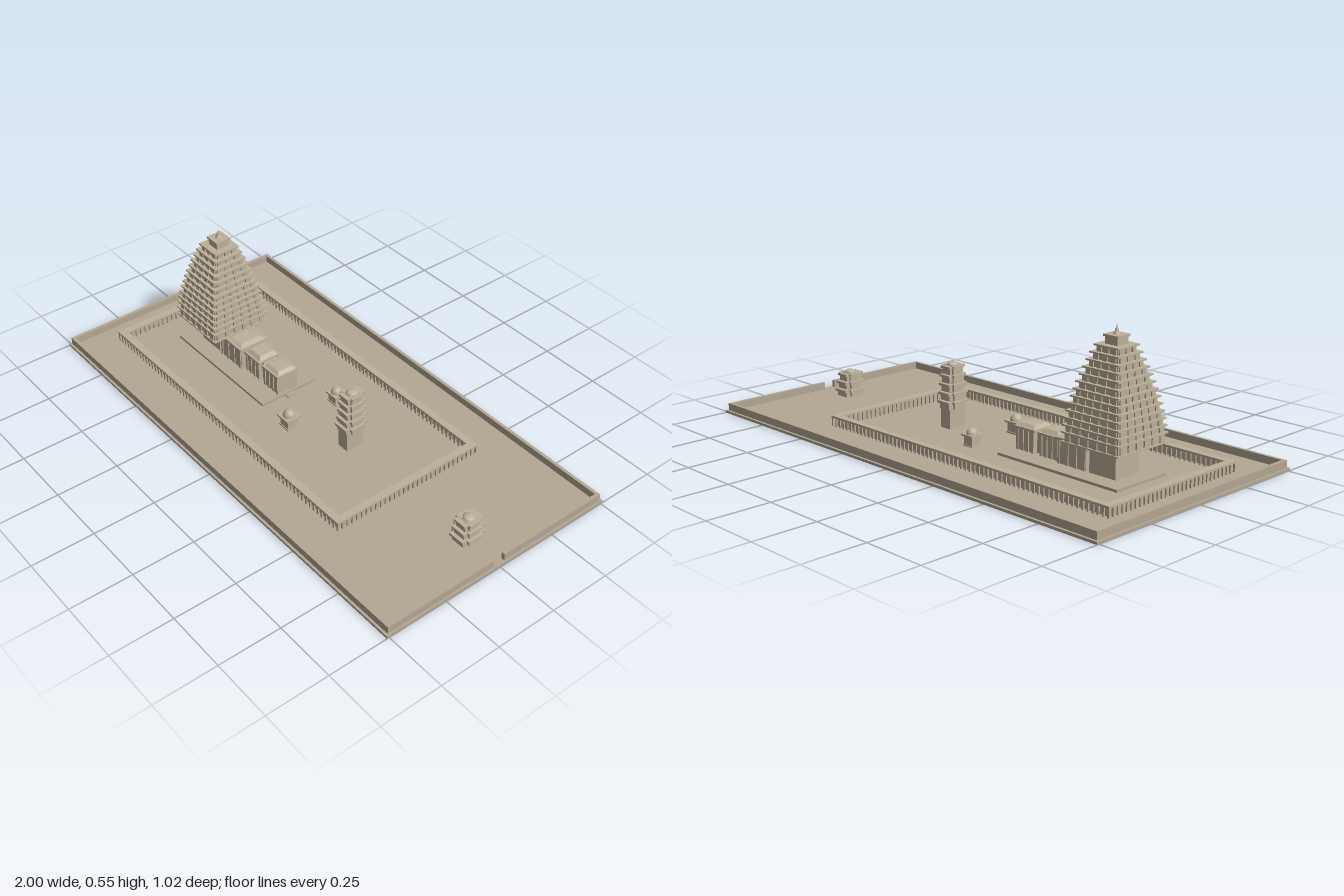
import * as THREE from 'three';
import { mergeGeometries } from 'three/addons/utils/BufferGeometryUtils.js';

const groundMat = new THREE.MeshStandardMaterial({ color: 0xb4a794 });
groundMat.name = 'ground stone';
const stoneMat = new THREE.MeshStandardMaterial({ color: 0xbcb09a });
stoneMat.name = 'carved stone';

// box from half sizes in x and z, between heights y0 and y1
function box(x, z, hx, hz, y0, y1) {
  return new THREE.BoxGeometry(hx * 2, y1 - y0, hz * 2).translate(x, (y0 + y1) / 2, z);
}
// square block with sloping sides
function taper(x, z, hx, hz, y0, y1, k) {
  const g = box(x, z, hx, hz, y0, y1), p = g.attributes.position;
  for (let i = 0; i < p.count; i++) {
    if (p.getY(i) > (y0 + y1) / 2) p.setXYZ(i, x + (p.getX(i) - x) * k, y1, z + (p.getZ(i) - z) * k);
  }
  g.computeVertexNormals();
  return g;
}
function dome(x, z, r, y, h) {
  return new THREE.SphereGeometry(r, 20, 8, 0, Math.PI * 2, 0, Math.PI / 2).scale(1, h / r, 1).translate(x, y, z);
}
function part(name, geos, mat = stoneMat) {
  const m = new THREE.Mesh(mergeGeometries(geos), mat);
  m.name = name;
  return m;
}

// pyramidal sanctuary tower
function sanctuaryTower() {
  const x = -0.622, geos = [box(x, 0, 0.06, 0.06, 0.02, 0.13)];
  const y0 = 0.13, y1 = 0.48, n = 13;
  const half = y => 0.131 - 0.085 * Math.pow((y - y0) / (y1 - y0), 1.6);
  let y = y0;
  for (let i = 0; i < n; i++) {
    const top = i === 0 ? 0.17 : y + (y1 - 0.17) / (n - 1);
    const h = half(y), lip = top - 0.006;
    geos.push(box(x, 0, h - 0.009, h - 0.009, y, lip));
    geos.push(box(x, 0, h, h, lip, top));
    if (i === 0) geos.push(box(x, 0, h, h, y, y + 0.005));
    // niche blocks along the four sides
    const count = h > 0.1 ? 6 : h > 0.07 ? 4 : 3;
    for (let k = 0; k < count; k++) {
      const o = ((k + 0.5) / count * 2 - 1) * (h - 0.006), w = h / count * 0.5;
      geos.push(box(x + o, 0, w, h - 0.004, y, lip), box(x, o, h - 0.004, w, y, lip));
    }
    y = top;
  }
  geos.push(box(x, 0, 0.028, 0.028, y1, 0.508), box(x, 0, 0.033, 0.033, 0.506, 0.514));
  // finial
  const profile = [[0.014, 0.512], [0.012, 0.52], [0.006, 0.523], [0.007, 0.53], [0.003, 0.535], [0, 0.551]];
  geos.push(new THREE.LatheGeometry(profile.map(p => new THREE.Vector2(...p)), 12).translate(x, 0, 0));
  return part('sanctuaryTower', geos);
}

// pillared halls in front of the tower
function halls() {
  const geos = [];
  const hall = (x0, x1, hz, eave, roof) => {
    const x = (x0 + x1) / 2, hx = (x1 - x0) / 2;
    geos.push(box(x, 0, hx - 0.007, hz - 0.007, 0.02, eave));
    geos.push(box(x, 0, hx, hz, eave - 0.008, eave));
    geos.push(taper(x, 0, hx - 0.006, hz - 0.008, eave, roof, 0.72));
    for (let i = 0; i < 4; i++) {
      const o = -0.9 + i * 0.6;
      geos.push(box(x + o * (hx - 0.008), 0, 0.005, hz - 0.003, 0.02, eave - 0.008));
    }
  };
  hall(-0.555, -0.405, 0.068, 0.118, 0.127);
  hall(-0.405, -0.305, 0.052, 0.108, 0.122);
  hall(-0.288, -0.185, 0.052, 0.109, 0.12);
  geos.push(box(-0.297, 0, 0.015, 0.03, 0.02, 0.1));
  return part('halls', geos);
}

// gate tower with a cross-shaped plan
function gateTower(name, x, base, yTop, tiers, s0, s1) {
  const geos = [];
  if (base > 0.02) geos.push(box(x, 0, 0.025, 0.04, 0.01, base));
  const step = (yTop - base) / tiers;
  for (let i = 0; i < tiers; i++) {
    const s = s0 + (s1 - s0) * i / Math.max(1, tiers - 1);
    const a = base + i * step, b = a + step;
    geos.push(box(x, 0, 0.035 * s, 0.023, a, b - 0.006));
    geos.push(box(x, 0, 0.026 * s, 0.044 * s, a, b - 0.008));
    geos.push(box(x, 0, 0.043 * s, 0.033 * s, b - 0.012, b - 0.002));
    geos.push(box(x, 0, 0.032 * s, 0.053 * s, b - 0.012, b - 0.002));
    geos.push(box(x, 0, 0.03 * s, 0.03 * s, b - 0.004, b));
  }
  geos.push(dome(x, 0, 0.023, yTop, 0.012));
  return part(name, geos);
}

// small domed pavilion
function pavilion(x, z, s) {
  const g = part('pavilion', [
    box(0, 0, 0.022, 0.022, 0, 0.039), box(0, 0, 0.03, 0.03, 0.039, 0.046),
    box(0, 0, 0.025, 0.025, 0, 0.006), dome(0, 0, 0.0225, 0.046, 0.024),
  ]);
  g.scale.setScalar(s);
  g.position.set(x, 0.01, z);
  return g;
}

// columned gallery around the inner court
function cloister() {
  const x0 = -0.895, x1 = 0.533, z = 0.335, w = 0.03;
  const cx = (x0 + x1) / 2, hx = (x1 - x0) / 2, geos = [];
  for (const s of [-1, 1]) {
    const rz = s * (z - w / 2), rx = cx + s * (hx - w / 2);
    geos.push(box(cx, rz, hx, w / 2, 0.043, 0.051), box(rx, 0, w / 2, z - w, 0.043, 0.051));
    geos.push(box(cx, rz, hx - 0.013, 0.002, 0.01, 0.043), box(rx, 0, 0.002, z - 0.013, 0.01, 0.043));
    for (const o of [-0.011, 0.011]) {
      for (let i = 0; i <= 64; i++) {
        geos.push(box(cx + (i / 32 - 1) * (hx - 0.005), rz + o, 0.004, 0.003, 0.01, 0.043));
      }
      for (let i = 1; i < 30; i++) {
        geos.push(box(rx + o, (i / 15 - 1) * (z - 0.005), 0.003, 0.004, 0.01, 0.043));
      }
    }
  }
  return part('cloister', geos);
}

export function createModel() {
  const model = new THREE.Group();
  model.name = 'templeCompound';
  model.add(part('groundSlab', [box(0, 0, 1, 0.51, 0, 0.01)], groundMat));

  // enclosing wall with an entrance gap on the +x side
  const wall = [box(-0.985, 0, 0.007, 0.5, 0.01, 0.039)];
  for (const s of [-1, 1]) {
    wall.push(box(0, s * 0.4935, 0.992, 0.0065, 0.01, 0.039));
    wall.push(box(0.985, s * 0.2625, 0.007, 0.2375, 0.01, 0.039));
  }
  model.add(part('outerWall', wall, groundMat));

  // temple terrace and its steps
  model.add(part('terrace', [
    box(-0.465, 0, 0.285, 0.13, 0.01, 0.02), box(-0.17, 0, 0.01, 0.02, 0.01, 0.015),
  ], groundMat));

  model.add(cloister(), sanctuaryTower(), halls());
  model.add(gateTower('innerGateTower', 0.2, 0.087, 0.258, 5, 1, 0.78));
  model.add(gateTower('outerGateTower', 0.834, 0.012, 0.11, 3, 1.05, 0.85));
  model.add(pavilion(-0.03, 0.116, 1.08), pavilion(-0.03, -0.116, 0.98));
  return model;
}
